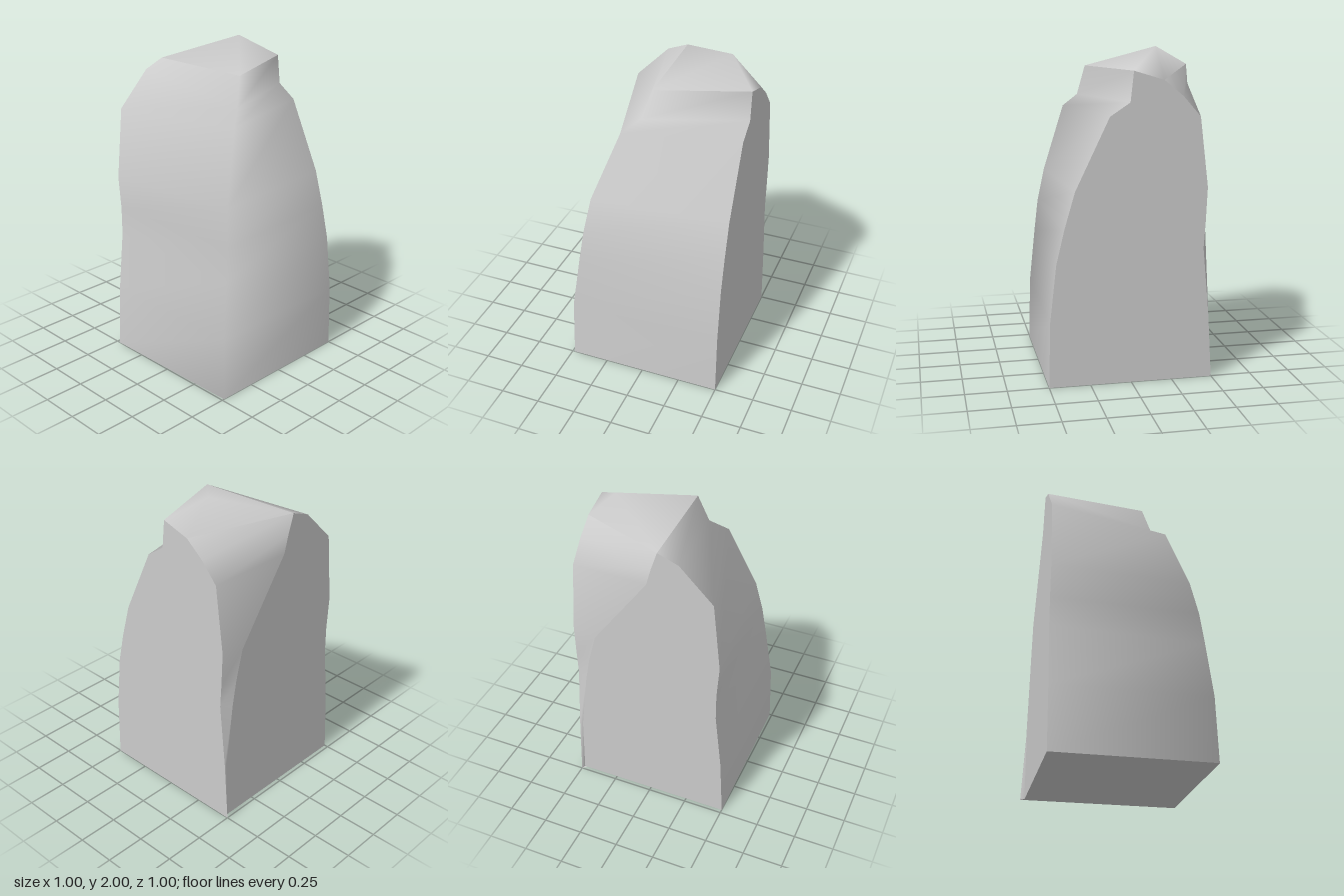
import * as THREE from 'three';

// Corner columns of the boulder, bottom to top, as [x, y, z]
const frontLeft = [
  [-0.475, 0, 0.5], [-0.475, 0.4, 0.48], [-0.475, 0.78, 0.44], [-0.475, 0.96, 0.44],
  [-0.475, 1.17, 0.455], [-0.475, 1.61, 0.41], [-0.475, 1.82, 0.2], [-0.475, 1.87, 0.07],
];
const frontRight = [
  [0.5, 0, 0.485], [0.49, 0.4, 0.475], [0.46, 0.75, 0.43], [0.44, 0.96, 0.4],
  [0.4, 1.18, 0.36], [0.295, 1.61, 0.2], [0.22, 1.69, 0.1], [0.18, 1.87, 0.04],
];
const backRight = [
  [0.5, 0, -0.5], [0.49, 0.4, -0.5], [0.45, 0.75, -0.5], [0.4, 0.96, -0.5],
  [0.336, 1.18, -0.5], [0.13, 1.61, -0.5], [0.01, 1.69, -0.5], [-0.01, 1.87, -0.5],
];
const backLeft = [
  [-0.5, 0, -0.5], [-0.477, 0.4, -0.5], [-0.44, 0.81, -0.5], [-0.45, 0.96, -0.5],
  [-0.46, 1.18, -0.5], [-0.41, 1.6, -0.5], [-0.305, 1.72, -0.5], [-0.19, 1.815, -0.5],
];
const leftRim = [
  [-0.475, 0, -0.49], [-0.475, 0.4, -0.48], [-0.475, 0.8, -0.43], [-0.475, 0.96, -0.4],
  [-0.475, 1.15, -0.35], [-0.475, 1.64, 0], [-0.475, 1.75, 0.03], [-0.475, 1.87, 0.07],
];
const peak = [-0.18, 2, -0.32];

const material = new THREE.MeshStandardMaterial({ color: 0xcccccc, roughness: 0.9 });

function makeMesh(name, points, index) {
  const geometry = new THREE.BufferGeometry();
  geometry.setAttribute('position', new THREE.Float32BufferAttribute(points.flat(), 3));
  geometry.setIndex(index);
  geometry.computeVertexNormals();
  const mesh = new THREE.Mesh(geometry, material);
  mesh.name = name;
  return mesh;
}

// Smooth skin stretched between neighbouring columns
function sheet(name, columns) {
  const rows = columns[0].length;
  const index = [];
  for (let c = 0; c < columns.length - 1; c++) {
    for (let r = 0; r < rows - 1; r++) {
      const a = c * rows + r;
      const b = a + rows;
      index.push(a, b, b + 1, a, b + 1, a + 1);
    }
  }
  return makeMesh(name, columns.flat(), index);
}

// Triangles from one centre point to a closed ring
function fan(name, centre, ring) {
  const index = [];
  ring.forEach((_, i) => index.push(0, i + 1, ((i + 1) % ring.length) + 1));
  return makeMesh(name, [centre, ...ring], index);
}

export function createModel() {
  const group = new THREE.Group();
  group.name = 'boulder';

  // Weathered front and right side, rounded over their shared corner
  group.add(sheet('weatheredFace', [frontLeft, frontRight, backRight]));

  // Flat cut sides and the chipped corner between them
  group.add(sheet('backFace', [backRight, backLeft]));
  group.add(sheet('chippedCorner', [backLeft, leftRim]));
  group.add(sheet('leftFace', [leftRim, frontLeft]));

  // Peaked top and flat underside
  const last = frontLeft.length - 1;
  group.add(fan('peak', peak, [frontLeft, frontRight, backRight, backLeft].map((c) => c[last])));
  group.add(fan('underside', [0, 0, 0],
    [leftRim, backLeft, backRight, frontRight, frontLeft].map((c) => c[0])));

  return group;
}
